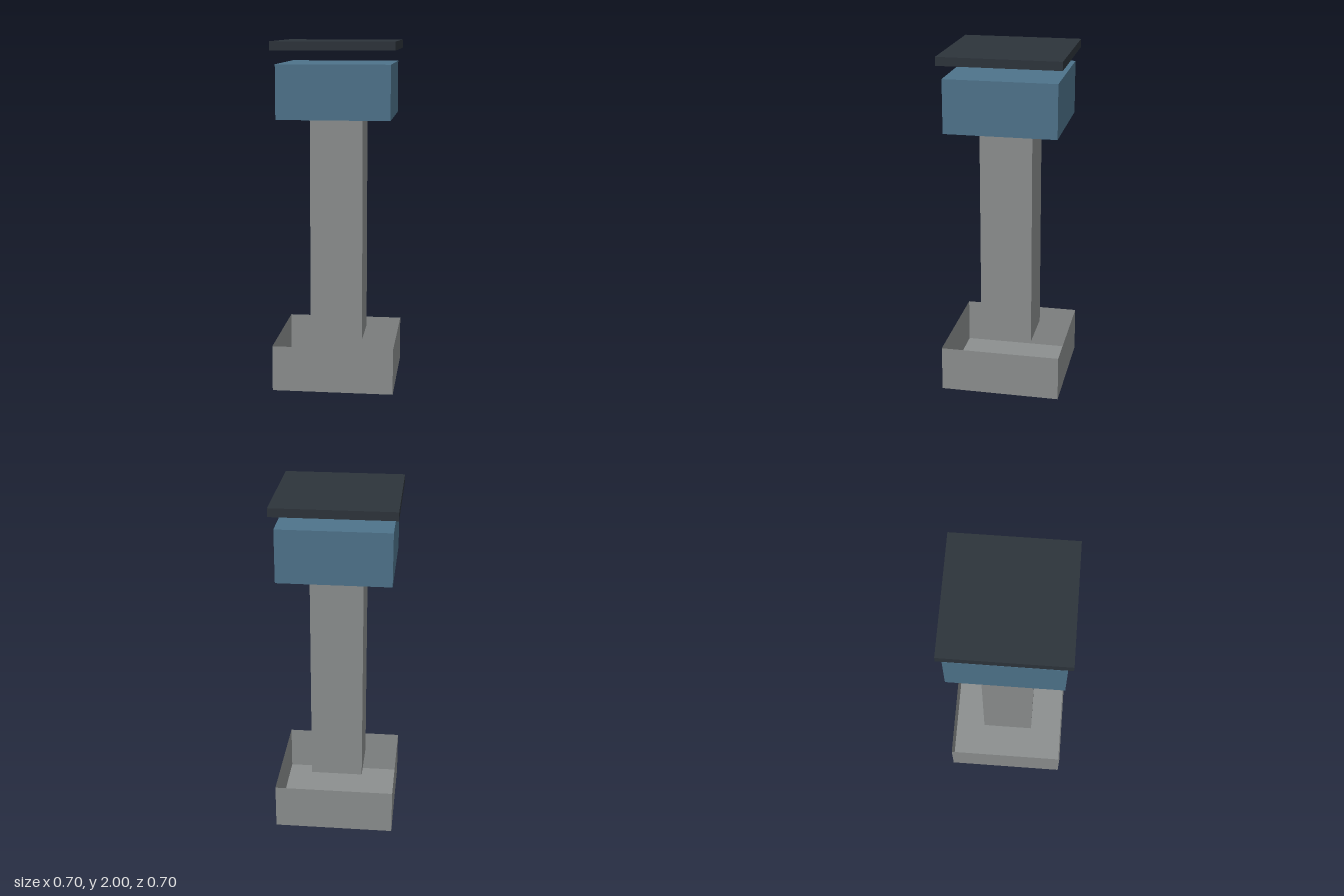
import * as THREE from 'three';

export function createModel() {
  const model = new THREE.Group();
  model.name = 'pillar';

  const mat = (name, color, side = THREE.FrontSide) => {
    const m = new THREE.MeshStandardMaterial({ color, side });
    m.name = name;
    return m;
  };
  // double-sided so the inside of the open base shows
  const grey = mat('stoneGrey', 0x8c8f8f, THREE.DoubleSide);
  const blue = mat('slateBlue', 0x4e738b);
  const dark = mat('darkSlate', 0x2d343b);

  // square block of given width between two heights
  const block = (name, width, y0, y1, material) => {
    const geo = new THREE.BoxGeometry(width, y1 - y0, width);
    geo.translate(0, (y0 + y1) / 2, 0);
    const mesh = new THREE.Mesh(geo, material);
    mesh.name = name;
    model.add(mesh);
    return mesh;
  };

  // base: thin-walled tray, open at the top
  const base = block('base', 0.696, 0, 0.264, grey);
  const index = Array.from(base.geometry.index.array);
  index.splice(12, 6); // drop the two triangles of the top face
  base.geometry.setIndex(index);
  base.geometry.clearGroups();

  // shaft starts at the rim of the base
  block('column', 0.304, 0.264, 1.566, grey);
  block('head', 0.643, 1.566, 1.874, blue);
  // cap hovers above the head
  block('cap', 0.696, 1.951, 2, dark);

  return model;
}
